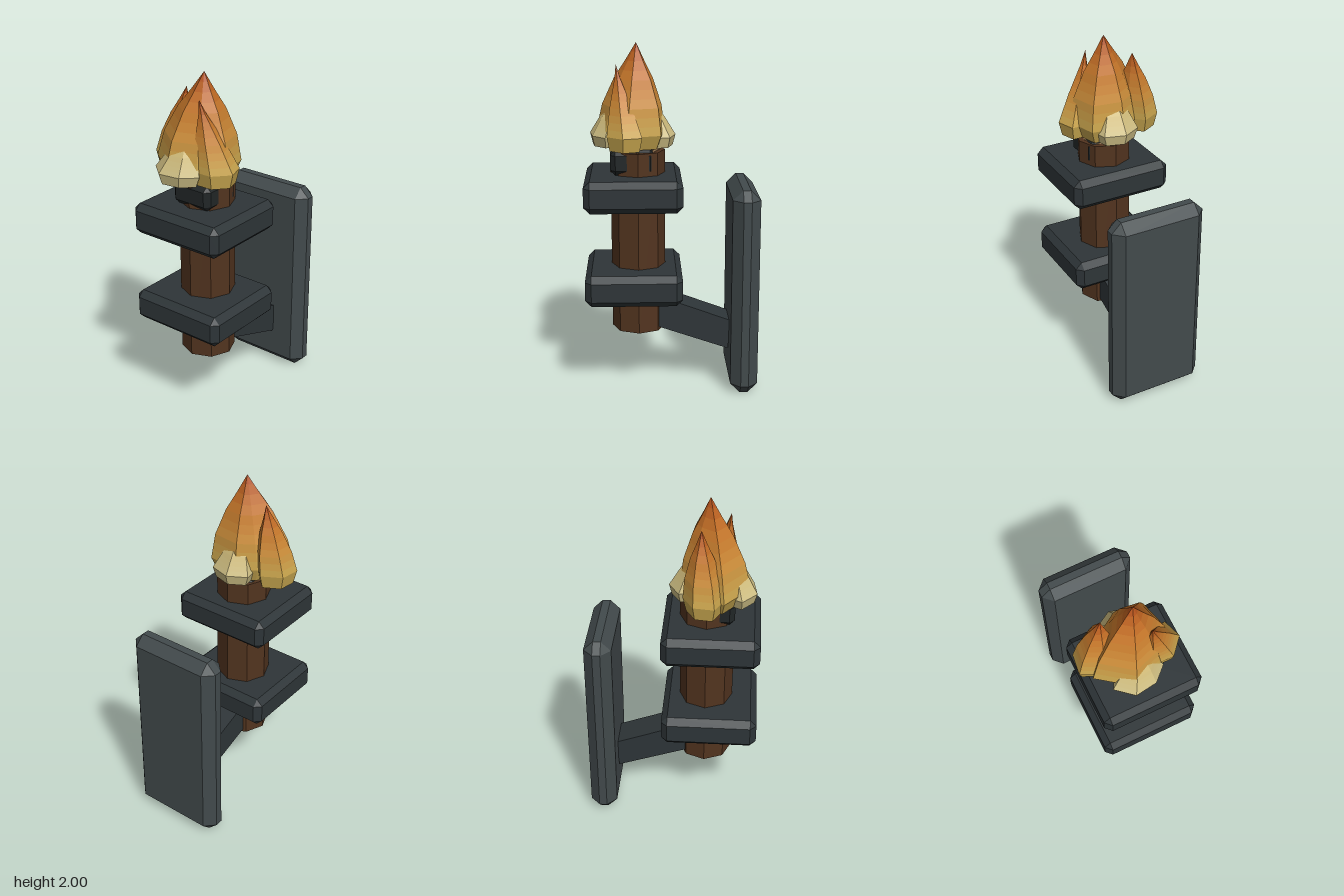
import * as THREE from 'three';
import { ConvexGeometry } from 'three/addons/geometries/ConvexGeometry.js';

const mat = (color) => new THREE.MeshStandardMaterial({ color, flatShading: true });
const iron = mat(0x2e3538);
const plateIron = mat(0x424a4c);
const darkIron = mat(0x212627);
const bark = mat(0x52341f);
const heartwood = mat(0x8f6f4c);
const ringwood = mat(0x765838);

function addMesh(parent, name, geometry, material, x = 0, y = 0, z = 0) {
  const mesh = new THREE.Mesh(geometry, material);
  mesh.name = name;
  mesh.position.set(x, y, z);
  parent.add(mesh);
}

// Box with every edge and corner cut at 45 degrees
function chamferBox(w, h, d, c) {
  const pts = [];
  for (const sx of [-1, 1]) for (const sy of [-1, 1]) for (const sz of [-1, 1]) {
    const x = w / 2, y = h / 2, z = d / 2;
    pts.push(
      new THREE.Vector3(sx * x, sy * (y - c), sz * (z - c)),
      new THREE.Vector3(sx * (x - c), sy * y, sz * (z - c)),
      new THREE.Vector3(sx * (x - c), sy * (y - c), sz * z));
  }
  return new ConvexGeometry(pts);
}

// Two closed sections joined into one faceted band
function loft(low, high, capBottom) {
  const pos = [];
  const tri = (...v) => v.forEach((p) => pos.push(p.x, p.y, p.z));
  const n = low.length;
  for (let i = 0; i < n; i++) {
    const j = (i + 1) % n;
    tri(low[i], high[i], high[j]);
    tri(low[i], high[j], low[j]);
  }
  if (capBottom) {
    for (let i = 1; i + 1 < n; i++) tri(low[0], low[i], low[i + 1]);
  }
  const g = new THREE.BufferGeometry();
  g.setAttribute('position', new THREE.Float32BufferAttribute(pos, 3));
  g.computeVertexNormals();
  return g;
}

// Piecewise linear lookup in [[t, value], ...]
function sample(table, t) {
  const i = Math.max(1, table.findIndex(([end]) => t <= end));
  const [t0, v0] = table[i - 1], [t1, v1] = table[i];
  return v0 + (v1 - v0) * (t - t0) / (t1 - t0);
}

const FULL = [[0, 1], [0.3, 0.86], [0.6, 0.56], [0.8, 0.27], [1, 0]];
const SLIM = [[0, 1], [0.4, 0.64], [0.8, 0.17], [1, 0]];

// Flame tongue: [x, z] footprint at its widest level, narrowing to a leaning tip
function flame(parent, name, footprint, tip, colors, taper, belly) {
  const group = new THREE.Group();
  group.name = name;
  parent.add(group);
  const n = footprint.length;
  const cx = footprint.reduce((s, p) => s + p[0], 0) / n;
  const cz = footprint.reduce((s, p) => s + p[1], 0) / n;
  const ring = (t, y, scale) => footprint.map(([x, z]) => new THREE.Vector3(
    cx + (tip[0] - cx) * t + (x - cx) * scale, y,
    cz + (tip[2] - cz) * t + (z - cz) * scale));
  const level = (t) => ring(t, belly + (tip[1] - belly) * t, sample(taper, t));
  const palette = colors.map((c) => new THREE.Color(c));
  const shade = (u) => {
    const s = u * (palette.length - 1), i = Math.min(Math.floor(s), palette.length - 2);
    return palette[i].clone().lerp(palette[i + 1], s - i);
  };
  addMesh(group, name + 'Base', loft(ring(0, 1.42, 0.84), level(0), true), mat(shade(0)));
  const bands = 10;
  for (let k = 0; k < bands; k++) {
    addMesh(group, name + 'Band' + (k + 1),
      loft(level(k / bands), level((k + 1) / bands), false), mat(shade((k + 0.5) / bands)));
  }
}

export function createModel() {
  const model = new THREE.Group();
  model.name = 'wallTorch';

  // Wall plate
  addMesh(model, 'wallPlate', chamferBox(0.566, 1.206, 0.157, 0.056), plateIron, 0.015, 0.605, -0.413);

  // Slanted arm from the plate to the handle, drawn in z, y
  const armShape = new THREE.Shape([
    new THREE.Vector2(0.14, 0.575), new THREE.Vector2(-0.345, 0.395),
    new THREE.Vector2(-0.33, 0.222), new THREE.Vector2(0.14, 0.385)]);
  const armGeo = new THREE.ExtrudeGeometry(armShape, { depth: 0.184, bevelEnabled: false });
  armGeo.rotateY(-Math.PI / 2);
  addMesh(model, 'arm', armGeo, iron, 0.108, 0, 0);

  // Two square clamps
  for (const [name, y] of [['lowerClamp', 0.64], ['upperClamp', 1.18]]) {
    addMesh(model, name, chamferBox(0.594, 0.18, 0.55, 0.036), iron, 0.015, y, 0.217);
  }

  // Octagonal wooden handle with growth rings on both ends
  const handle = new THREE.Group();
  handle.name = 'handle';
  handle.position.set(0.015, 0.8725, 0.19);
  model.add(handle);
  addMesh(handle, 'handleShaft', new THREE.CylinderGeometry(0.155, 0.155, 1.055, 8), bark);
  [[0.125, heartwood], [0.105, ringwood], [0.075, heartwood]].forEach(([r, m], i) => {
    addMesh(handle, 'growthRing' + (i + 1),
      new THREE.CylinderGeometry(r, r, 1.055 + 0.004 * (i + 1), 8), m);
  });

  // Wick block at the top of the handle
  addMesh(model, 'wickBlock', chamferBox(0.255, 0.145, 0.255, 0.03), darkIron, 0.017, 1.343, 0.218);

  // Flames, footprints ordered clockwise from above
  const fire = new THREE.Group();
  fire.name = 'fire';
  model.add(fire);
  const hot = [0xc9a850, 0xcc9a44, 0xcb8836, 0xc67a2c, 0xbd6622, 0xae4a18];
  const pale = [0xcfc086, 0xcfb976, 0xcdaa5c];
  flame(fire, 'mainFlame', [[0.2, 0.245], [0.09, 0.37], [-0.075, 0.425], [-0.26, 0.285],
    [-0.14, 0.1], [-0.04, 0.035], [0.15, 0.06]], [0.005, 2, 0.195], hot, FULL, 1.5);
  flame(fire, 'rightSideFlame', [[-0.08, 0.25], [-0.2, 0.29], [-0.315, 0.235], [-0.3, 0.12],
    [-0.19, 0.06], [-0.12, 0.13]], [-0.152, 1.88, 0.155], hot, FULL, 1.5);
  flame(fire, 'leftSideFlame', [[0.255, 0.27], [0.175, 0.36], [0.06, 0.36], [0.02, 0.26],
    [0.1, 0.17], [0.22, 0.165]], [0.06, 1.885, 0.307], hot, SLIM, 1.5);
  flame(fire, 'backFlame', [[0.12, 0.1], [0.02, 0.19], [-0.11, 0.14], [-0.125, 0.035],
    [-0.02, -0.025], [0.1, 0.01]], [-0.01, 1.72, 0.13], pale, SLIM, 1.48);
  flame(fire, 'frontFlame', [[0.11, 0.37], [0.03, 0.445], [-0.095, 0.462], [-0.19, 0.38],
    [-0.13, 0.28], [0.04, 0.27]], [-0.01, 1.72, 0.31], pale, SLIM, 1.48);
  return model;
}
